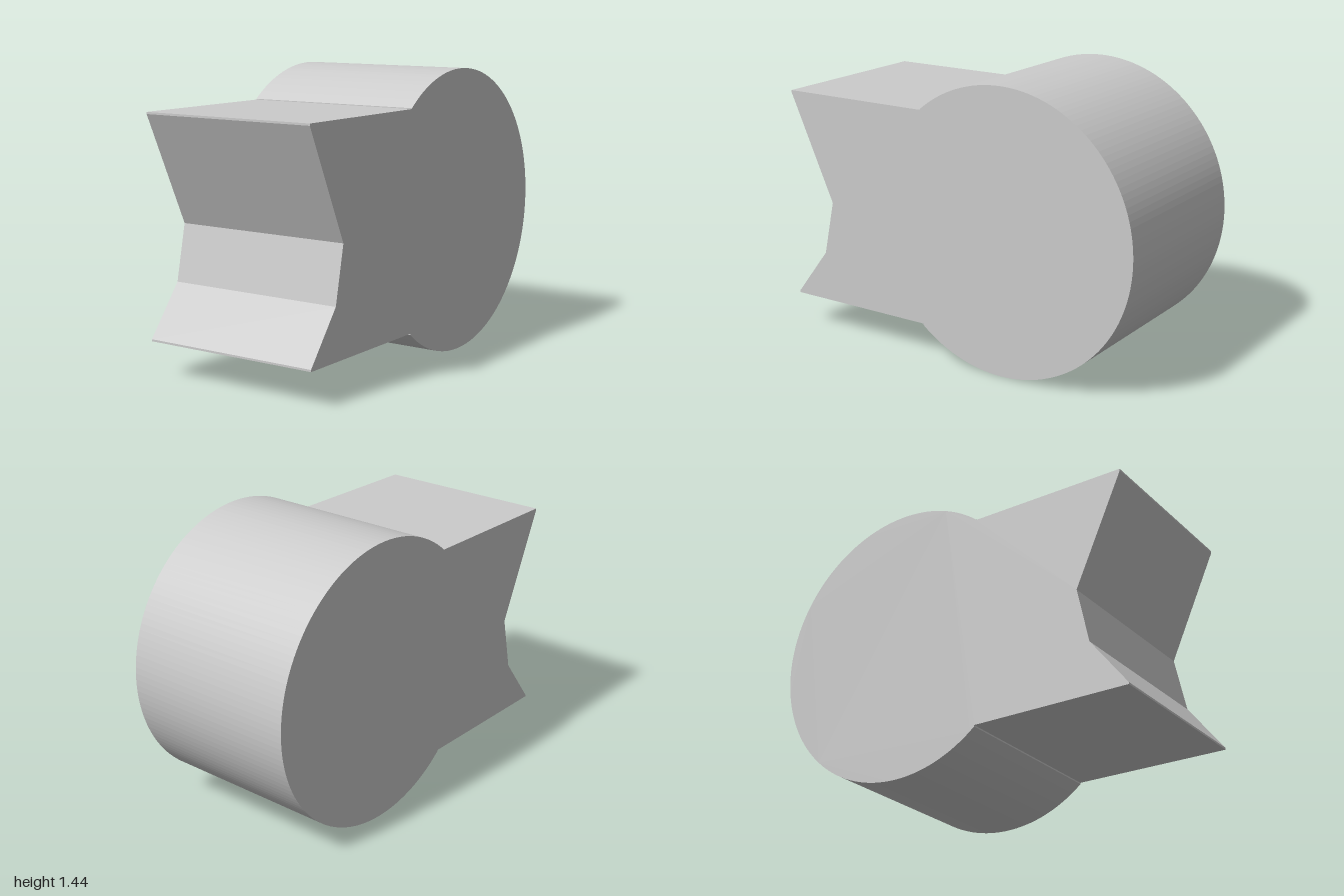
import * as THREE from 'three';

export function createModel() {
  const group = new THREE.Group();
  const width = 0.94, radius = 0.72, centreZ = -0.28;
  const gap = 0.878; // half angle of the drum hidden by the block

  // Side outline: shape x runs along the model's z
  const outline = new THREE.Shape();
  outline.absarc(centreZ, radius, radius, gap, 2 * Math.PI - gap, false);
  const notchedFront = [
    [0.18, 0.173], [1, 0.173], [1, 0.183], [0.81, 0.43],
    [0.75, 0.71], [1, 1.26], [1, 1.27], [0.18, 1.27],
  ];
  for (const [z, y] of notchedFront) outline.lineTo(z, y);
  outline.closePath();

  // Drum and notched block as one faceted solid, extruded across the width
  const geometry = new THREE.ExtrudeGeometry(outline, {
    depth: width, bevelEnabled: false, curveSegments: 52,
  });
  geometry.translate(0, 0, -width / 2);
  geometry.rotateY(-Math.PI / 2);

  const body = new THREE.Mesh(
    geometry,
    new THREE.MeshStandardMaterial({ color: 0xcccccc, flatShading: true }),
  );
  body.name = 'drumWithNotchedBlock';
  group.add(body);
  return group;
}
